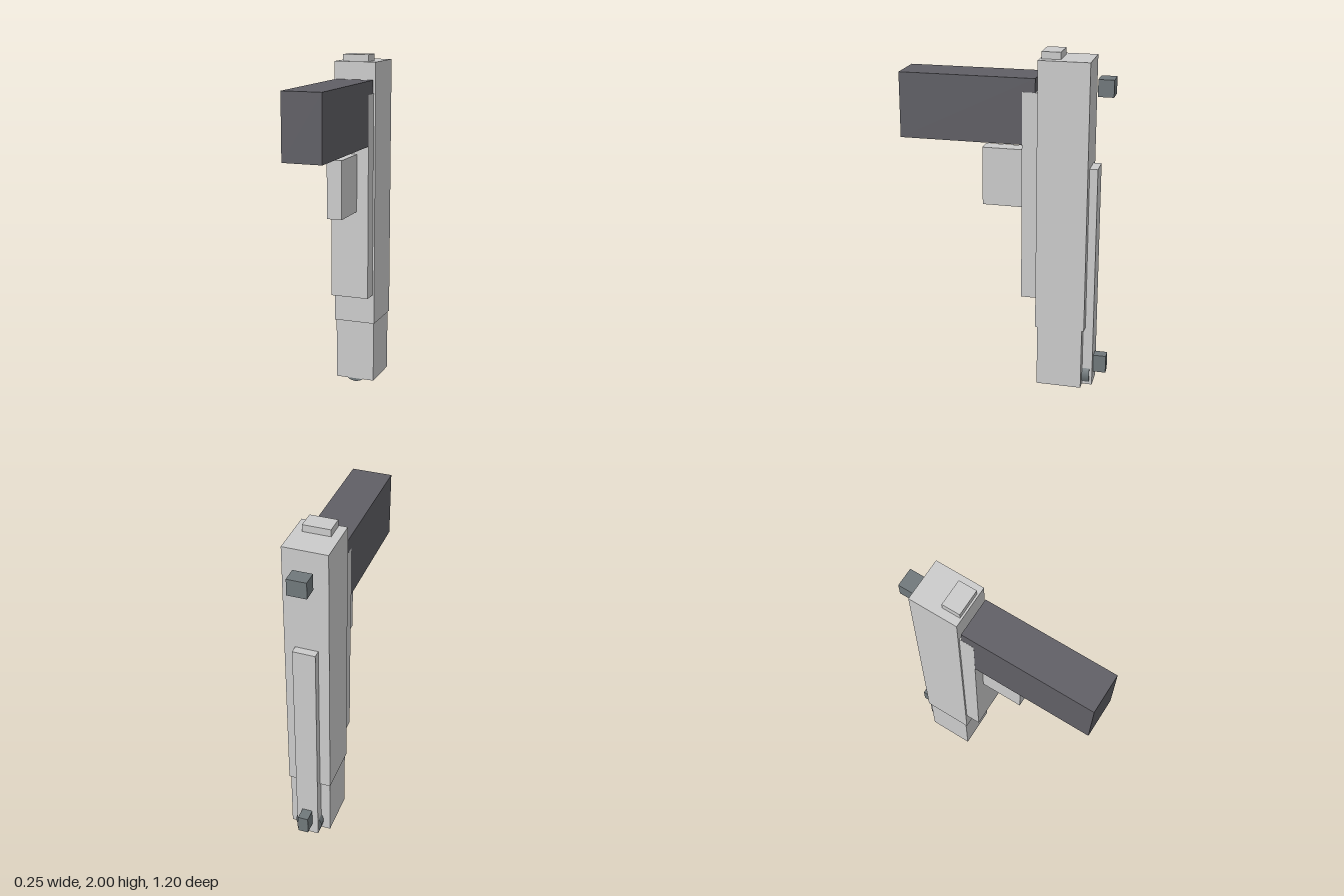
import * as THREE from 'three';

const grey = new THREE.MeshStandardMaterial({ color: 0xcccccc });
const dark = new THREE.MeshStandardMaterial({ color: 0x605f65 });
const steel = new THREE.MeshStandardMaterial({ color: 0x70787b });

// Box centred on x, given its width and its y and z ranges
function block(name, width, [y0, y1], [z0, z1], material = grey) {
  const mesh = new THREE.Mesh(new THREE.BoxGeometry(width, y1 - y0, z1 - z0), material);
  mesh.position.set(0, (y0 + y1) / 2, (z0 + z1) / 2);
  mesh.name = name;
  return mesh;
}

export function createModel() {
  const model = new THREE.Group();
  model.name = 'pistol';

  // Main body, standing on its muzzle end
  model.add(
    block('slide', 0.252, [0.39, 1.96], [-0.48, -0.192]),
    block('noseBlock', 0.24, [0.02, 0.39], [-0.467, -0.203]),
    block('topRail', 0.13, [0.02, 1.355], [-0.526, -0.44]),
    block('frame', 0.231, [0.57, 1.78], [-0.192, -0.105]),
    block('endCap', 0.156, [1.96, 2.0], [-0.31, -0.203])
  );

  // Grip and trigger
  model.add(
    block('grip', 0.23, [1.483, 1.858], [-0.178, 0.6], dark),
    block('triggerGuard', 0.09, [1.095, 1.435], [-0.105, 0.14])
  );

  // Sights
  model.add(
    block('rearSight', 0.11, [1.762, 1.858], [-0.6, -0.512], steel),
    block('frontSight', 0.06, [0.09, 0.197], [-0.6, -0.526], steel)
  );

  // Cross pin through the nose, showing below and beside the rail
  const pin = new THREE.Mesh(new THREE.CylinderGeometry(0.08, 0.08, 0.303, 16), steel);
  pin.rotation.x = Math.PI / 2;
  pin.position.set(0, 0.08, -0.3585);
  pin.name = 'crossPin';
  model.add(pin);

  return model;
}
